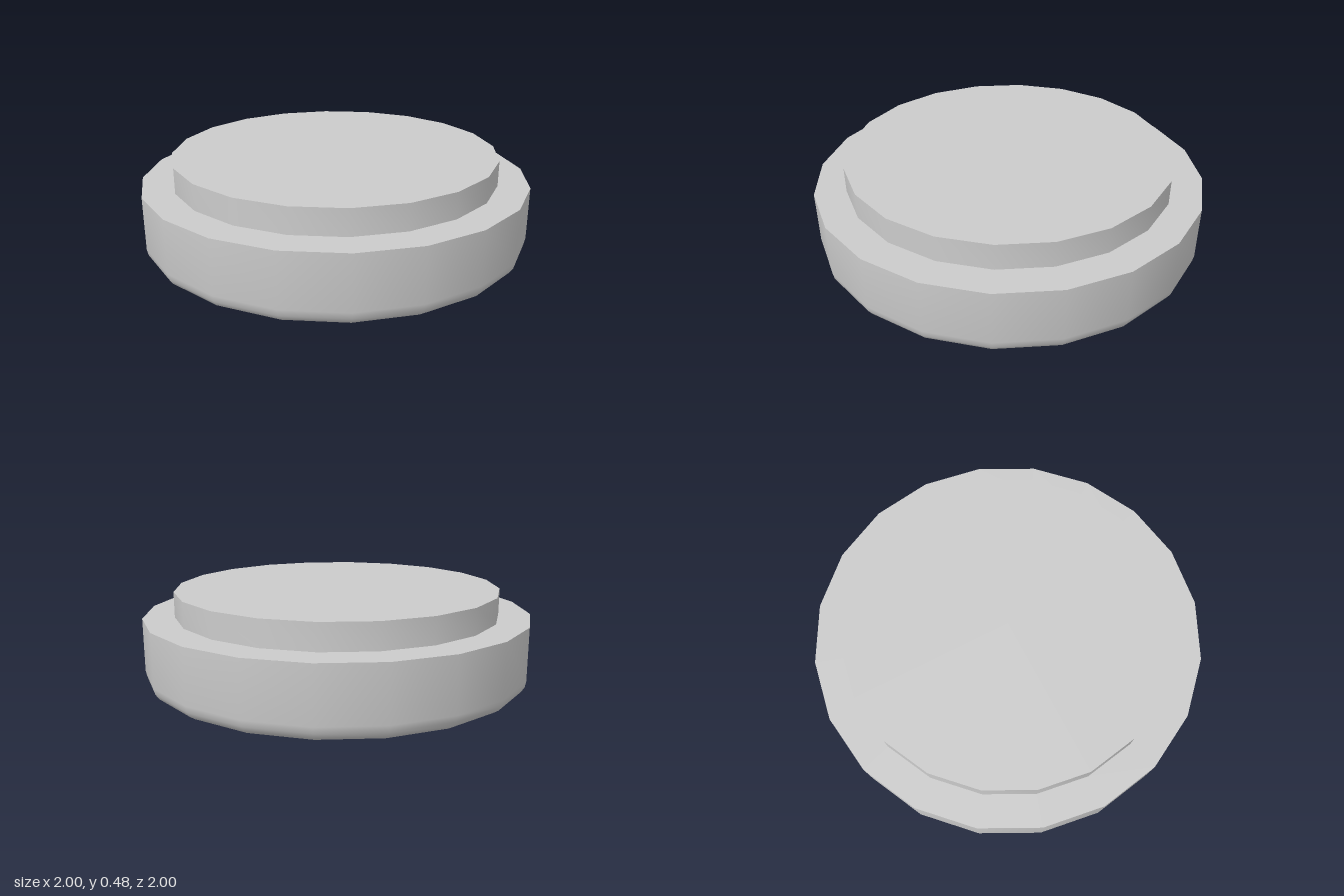
import * as THREE from 'three';
import { toCreasedNormals } from 'three/addons/utils/BufferGeometryUtils.js';

const SIDES = 20;
const BASE_RADIUS = 1, BASE_TOP = 0.35;
const STEP_RADIUS = 0.84, STEP_TOP = 0.48;
const ROUNDING = 0.08, ROUNDING_STEPS = 4;

// Turns a profile of [radius, height] points, listed from bottom to top
function turned(name, profile, material) {
  const points = profile.map(([r, y]) => new THREE.Vector2(r, y));
  const geometry = toCreasedNormals(new THREE.LatheGeometry(points, SIDES), 0.6);
  const mesh = new THREE.Mesh(geometry, material);
  mesh.name = name;
  return mesh;
}

export function createModel() {
  const group = new THREE.Group();
  group.name = 'steppedDisc';
  const material = new THREE.MeshStandardMaterial({ color: 0xcccccc });

  // Wide base: flat underside, rounded lower edge, straight wall, flat rim
  const base = [[0, 0]];
  for (let i = 0; i <= ROUNDING_STEPS; i++) {
    const a = (i / ROUNDING_STEPS) * Math.PI / 2;
    base.push([
      BASE_RADIUS - ROUNDING + ROUNDING * Math.sin(a),
      ROUNDING - ROUNDING * Math.cos(a),
    ]);
  }
  base.push([BASE_RADIUS, BASE_TOP], [STEP_RADIUS, BASE_TOP]);
  group.add(turned('base', base, material));

  // Narrower raised step with a flat top
  const step = [[STEP_RADIUS, BASE_TOP], [STEP_RADIUS, STEP_TOP], [0, STEP_TOP]];
  group.add(turned('raisedStep', step, material));

  return group;
}
